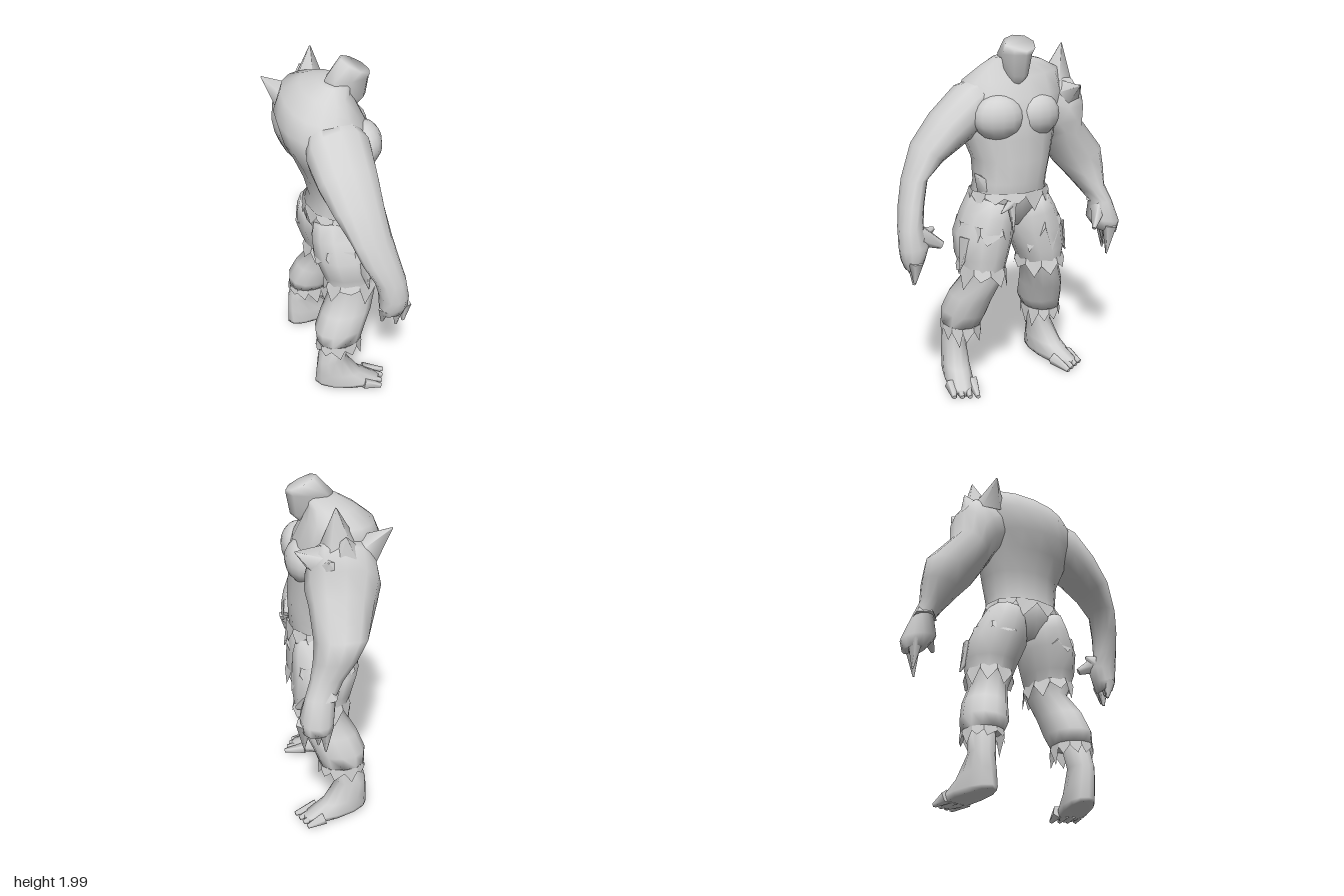
import * as THREE from 'three';

const stone = new THREE.MeshStandardMaterial({ color: 0xd2d2d2, side: THREE.DoubleSide });
stone.name = 'grey';

let seed = 7;
const rand = () => (seed = (seed * 16807) % 2147483647) / 2147483647;

function mesh(name, geometry, parent) {
  const m = new THREE.Mesh(geometry, stone);
  m.name = name;
  parent.add(m);
  return m;
}

// A ring is [outerZ, outerY, innerZ, innerY, backX, frontX, ySkew, zSkew].
function ringPoint(r, t, s = 1, grow = 1) {
  const [zo, yo, zi, yi, xb, xf, sy = 0, sz = 0] = r;
  const square = (v) => Math.sign(v) * Math.abs(v) ** 0.92;
  const c = square(Math.cos(t)) * grow, d = square(Math.sin(t)) * grow;
  return [
    (xb + xf) / 2 + (d * (xf - xb)) / 2,
    (yo + yi) / 2 + (c * (yo - yi)) / 2 + d * sy,
    s * ((zo + zi) / 2 + (c * (zo - zi)) / 2 + d * sz),
  ];
}

function build(points, index) {
  const g = new THREE.BufferGeometry();
  g.setAttribute('position', new THREE.Float32BufferAttribute(points.flat(), 3));
  g.setIndex(index);
  g.computeVertexNormals();
  return g;
}

// Closed skin over a row of rings; corner order is fixed by the enclosed volume.
function loft(rings, s = 1, n = 12) {
  const p = [], idx = [];
  rings.forEach((r) => {
    for (let i = 0; i < n; i++) p.push(ringPoint(r, (i / n) * Math.PI * 2, s));
  });
  for (let k = 0; k < rings.length - 1; k++) {
    for (let i = 0; i < n; i++) {
      const a = k * n + i, b = k * n + ((i + 1) % n);
      idx.push(a, b, a + n, b, b + n, a + n);
    }
  }
  const last = (rings.length - 1) * n;
  for (let i = 1; i < n - 1; i++) idx.push(0, i + 1, i, last, last + i, last + i + 1);
  let volume = 0;
  const v = (i) => new THREE.Vector3(...p[i]);
  for (let i = 0; i < idx.length; i += 3) {
    volume += v(idx[i]).dot(v(idx[i + 1]).cross(v(idx[i + 2])));
  }
  return build(p, volume < 0 ? idx.reverse() : idx);
}

// Torn cloth band: a ring with uneven pointed strips hanging from it.
function ragged(ring, s, drop, flare = 1.05, n = 9) {
  const p = [], idx = [];
  const step = (Math.PI * 2) / n;
  for (let i = 0; i < n; i++) {
    const t = i * step, k = p.length;
    p.push(ringPoint(ring, t, s, 1.01), ringPoint(ring, t + step, s, 1.01));
    const low = [t, t + step * (0.25 + rand() * 0.5), t + step].map((a) => ringPoint(ring, a, s, flare));
    low[0][1] -= drop * 0.2;
    low[1][1] -= drop * (0.3 + 0.7 * rand());
    low[2][1] -= drop * 0.2;
    p.push(...low);
    idx.push(k, k + 2, k + 3, k, k + 3, k + 1, k + 1, k + 3, k + 4);
  }
  return build(p, idx);
}

// Tapered spike from a to b.
function spike(name, a, b, radius, parent, tip = 0.004, sides = 5) {
  const from = new THREE.Vector3(...a), to = new THREE.Vector3(...b);
  const dir = to.clone().sub(from);
  const m = mesh(name, new THREE.CylinderGeometry(tip, radius, dir.length(), sides), parent);
  m.position.copy(from).add(to).multiplyScalar(0.5);
  m.quaternion.setFromUnitVectors(new THREE.Vector3(0, 1, 0), dir.normalize());
}

export function createModel() {
  const g = new THREE.Group();
  g.name = 'hulkingCreature';

  // Hunched torso and blunt head, facing +x
  mesh('torso', loft([
    [0.1, 0.96, -0.1, 0.96, -0.07, 0.14],
    [0.21, 1.06, -0.21, 1.06, -0.13, 0.2],
    [0.22, 1.14, -0.21, 1.14, -0.13, 0.225],
    [0.21, 1.22, -0.21, 1.22, -0.11, 0.23],
    [0.21, 1.34, -0.24, 1.34, -0.14, 0.235],
    [0.25, 1.46, -0.28, 1.46, -0.19, 0.225],
    [0.27, 1.56, -0.3, 1.56, -0.24, 0.23],
    [0.26, 1.66, -0.36, 1.69, -0.265, 0.2],
    [0.22, 1.75, -0.34, 1.81, -0.22, 0.15],
    [0.13, 1.83, -0.22, 1.86, -0.13, 0.12],
    [0.075, 1.88, -0.09, 1.89, -0.045, 0.12],
  ], 1, 16), g);
  for (const s of [1, -1]) {
    const pec = mesh(s > 0 ? 'leftChest' : 'rightChest', new THREE.SphereGeometry(1, 14, 10), g);
    pec.scale.set(0.1, 0.12, 0.14);
    pec.position.set(0.15, 1.575, s * 0.12);
    pec.rotation.y = -s * 0.2;
  }
  mesh('head', loft([
    [0.02, 1.73, -0.02, 1.73, 0.09, 0.14],
    [0.055, 1.79, -0.06, 1.79, 0, 0.205],
    [0.07, 1.9, -0.08, 1.9, -0.02, 0.225],
    [0.075, 1.95, -0.095, 1.965, 0.07, 0.225, -0.037],
  ], 1, 8), g);

  // Slim left arm and swollen right arm
  mesh('leftArm', loft([
    [0.07, 1.8, 0.1, 1.54, -0.16, 0.09],
    [0.25, 1.74, 0.23, 1.45, -0.2, 0.15],
    [0.41, 1.6, 0.31, 1.4, -0.18, 0.14],
    [0.54, 1.45, 0.4, 1.35, -0.14, 0.13],
    [0.62, 1.27, 0.5, 1.29, -0.08, 0.14],
    [0.66, 1.15, 0.54, 1.16, -0.03, 0.17],
    [0.69, 1.04, 0.565, 1.05, 0.03, 0.2],
    [0.7, 0.93, 0.54, 0.96, 0.06, 0.22],
    [0.69, 0.87, 0.57, 0.87, 0.06, 0.215],
    [0.67, 0.82, 0.59, 0.82, 0.07, 0.2],
  ]), g);
  mesh('rightArm', loft([
    [-0.1, 1.8, -0.12, 1.55, -0.15, 0.1],
    [-0.4, 1.76, -0.24, 1.42, -0.2, 0.17],
    [-0.47, 1.66, -0.26, 1.39, -0.21, 0.18],
    [-0.47, 1.52, -0.29, 1.34, -0.19, 0.16],
    [-0.62, 1.34, -0.35, 1.24, -0.13, 0.15],
    [-0.625, 1.22, -0.41, 1.17, -0.07, 0.16],
    [-0.61, 1.12, -0.48, 1.08, 0, 0.18],
    [-0.64, 1.03, -0.52, 1.02, 0.05, 0.21],
    [-0.69, 0.89, -0.49, 0.93, 0.06, 0.24],
    [-0.67, 0.83, -0.55, 0.85, 0.08, 0.23],
  ]), g);

  // Clawed fingers and thumbs
  for (let i = 0; i < 4; i++) {
    const x = 0.09 + i * 0.036;
    spike('leftFinger', [x, 0.87, 0.635], [x - 0.005, 0.735 + 0.025 * ((i + 1) % 3), 0.615 + 0.01 * i], 0.04, g, 0.008);
    spike('rightFinger', [x + 0.02, 0.88, -0.62 + i * 0.008], [x + 0.02, 0.71 + 0.035 * (i % 3), -0.625 + i * 0.016], 0.045, g, 0.005);
  }
  spike('leftThumb', [0.15, 1.0, 0.59], [0.2, 0.945, 0.485], 0.06, g, 0.022);
  spike('leftThumbKnuckle', [0.13, 0.99, 0.59], [0.15, 1.03, 0.51], 0.055, g, 0.01);
  spike('rightThumb', [0.16, 0.98, -0.55], [0.24, 0.89, -0.465], 0.05, g, 0.012);
  spike('rightWristSpur', [0.1, 1.02, -0.58], [0.12, 1.15, -0.58], 0.075, g);

  // Bony growths on the right shoulder and upper back
  [
    [[0.0, 1.74, -0.33], [0.02, 1.935, -0.355], 0.095],
    [[-0.15, 1.7, -0.31], [-0.265, 1.81, -0.33], 0.085],
    [[-0.03, 1.68, -0.36], [-0.02, 1.81, -0.42], 0.1],
    [[0.1, 1.66, -0.34], [0.22, 1.72, -0.35], 0.09],
    [[0.05, 1.62, -0.38], [0.07, 1.7, -0.46], 0.1],
  ].forEach(([a, b, r]) => spike('shoulderSpike', a, b, r, g));

  for (const s of [1, -1]) {
    const side = s > 0 ? 'left' : 'right';

    // Baggy torn trousers
    const knee = [0.315, 0.76, 0.065, 0.74, -0.08, 0.23];
    const hem = [0.38, 0.37, 0.165, 0.37, -0.165, 0.1];
    mesh(side + 'TrouserLeg', loft([
      [0.22, 1.14, 0.02, 1.08, -0.13, 0.2],
      [0.27, 1.05, 0, 1.0, -0.145, 0.225],
      [0.325, 0.93, 0, 0.91, -0.14, 0.23],
      [0.33, 0.81, 0.045, 0.79, -0.1, 0.235],
      [0.29, 0.68, 0.09, 0.66, -0.05, 0.22],
      [0.35, 0.56, 0.12, 0.54, -0.125, 0.175],
      [0.38, 0.45, 0.135, 0.43, -0.17, 0.125],
      hem,
    ], s), g);
    mesh(side + 'KneeRags', ragged(knee, s, 0.15, 1.08), g);
    mesh(side + 'HemRags', ragged(hem, s, 0.13, 1.04, 11), g);

    // Loose cloth hanging off the hip
    mesh(side + 'HipCloth', ragged([0.3, 1.0, 0.04, 0.98, -0.13, 0.225], s, 0.2, 1.08, 7), g);
    spike(side + 'HipRag', [0.1, 0.92, s * 0.29], [0.12, 0.75, s * 0.345], 0.05, g);

    // Shin, heel and splayed foot
    mesh(side + 'Foot', loft([
      [0.35, 0.42, 0.21, 0.42, -0.13, 0.05],
      [0.365, 0.24, 0.23, 0.24, -0.17, 0],
      [0.385, 0.13, 0.23, 0.13, -0.178, 0.09, -0.02, 0.02],
      [0.405, 0.055, 0.235, 0.055, -0.182, 0.2, -0.008, 0.04],
      [0.395, 0.026, 0.245, 0.026, -0.182, 0.2, -0.018, 0.04],
    ], s), g);
    for (let i = 0; i < 4; i++) {
      const z = 0.29 + i * 0.04;
      spike('toe', [0.12 - i * 0.01, 0.046, s * (z - 0.01)], [0.25 - i * 0.02, 0.018, s * (z + 0.018)], 0.038, g, 0.014);
    }
  }

  // Frayed waistband with a front knot
  mesh('waistCloth', ragged([0.225, 1.17, -0.22, 1.17, -0.13, 0.235], 1, 0.12, 1.05, 12), g);
  spike('waistRag', [0.1, 1.2, 0.18], [0.14, 1.29, 0.26], 0.05, g);
  spike('knotTail', [0.21, 1.12, 0.07], [0.25, 0.96, 0.08], 0.03, g);
  spike('knotEnd', [0.21, 1.12, 0.07], [0.25, 1.08, 0.16], 0.03, g);

  return g;
}
